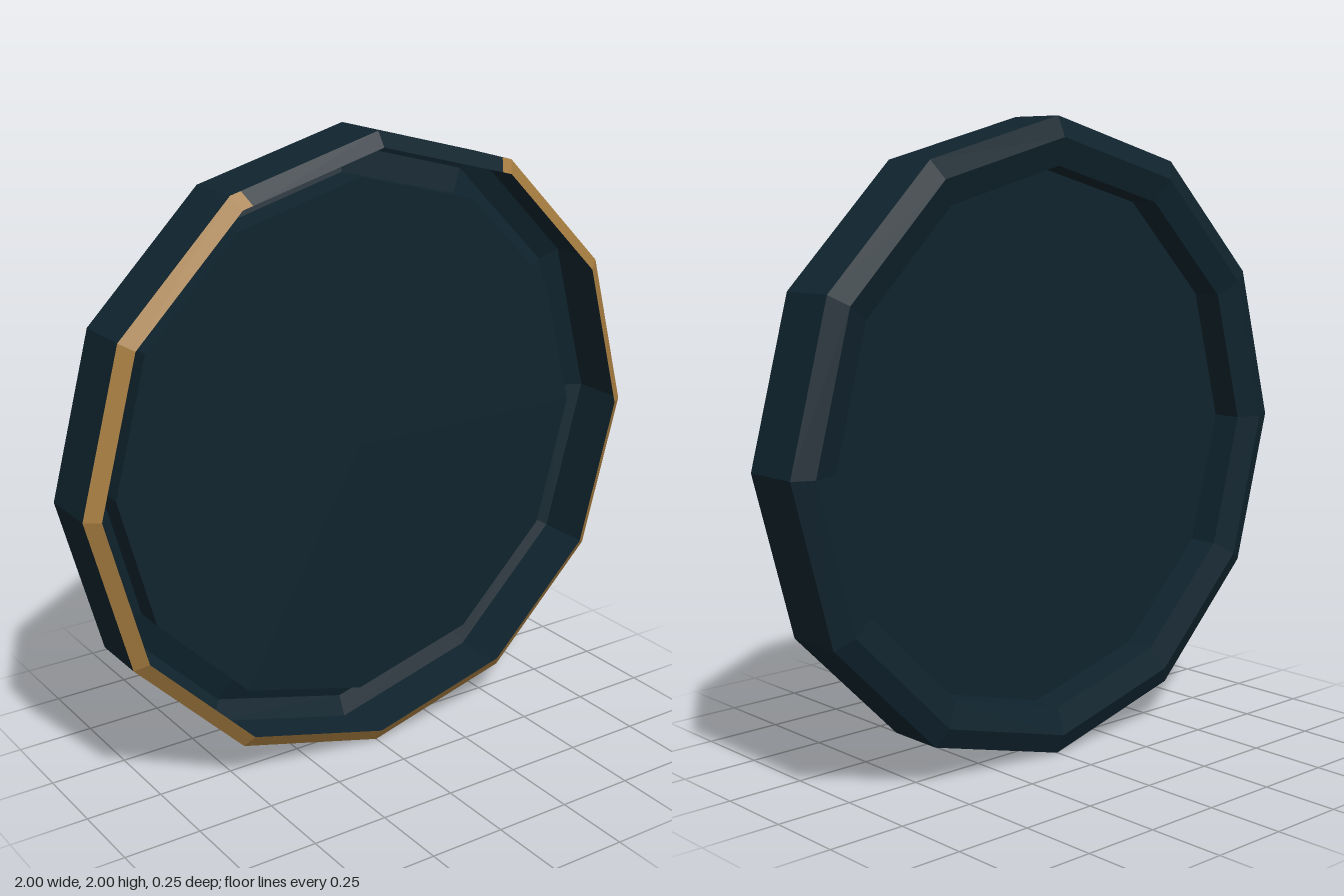
import * as THREE from 'three';

const SIDES = 12;
const FRONT = [[1, 0.093], [0.955, 0.124]]; // bevel: outer and inner [radius, z]
const CUT = 0.07; // how far the trim runs past the corners beside the top

// Point on the unit polygon; i counts corners anticlockwise from +x, fractions lie on an edge
function polygonPoint(i) {
  const at = (k) => new THREE.Vector2(Math.cos(k * 2 * Math.PI / SIDES), Math.sin(k * 2 * Math.PI / SIDES));
  const k = Math.floor(i);
  return at(k).lerp(at(k + 1), i - k);
}

// Front bevel strip along a list of polygon positions
function bevelStrip(stops) {
  const positions = [];
  for (let n = 0; n < stops.length - 1; n++) {
    const a = polygonPoint(stops[n]), b = polygonPoint(stops[n + 1]);
    const corner = (p, [r, z]) => [p.x * r, p.y * r, z];
    const ao = corner(a, FRONT[0]), bo = corner(b, FRONT[0]);
    const ai = corner(a, FRONT[1]), bi = corner(b, FRONT[1]);
    positions.push(...ao, ...bo, ...bi, ...ao, ...bi, ...ai);
  }
  const geometry = new THREE.BufferGeometry();
  geometry.setAttribute('position', new THREE.Float32BufferAttribute(positions, 3));
  geometry.computeVertexNormals();
  return geometry;
}

// Ring of flat facets around the z axis from a [radius, z] profile
function facetRing(profile) {
  return new THREE.LatheGeometry(profile.map(([r, z]) => new THREE.Vector2(r, z)), SIDES).rotateX(Math.PI / 2);
}

export function createModel() {
  const model = new THREE.Group();
  model.name = 'disc';
  const dark = new THREE.MeshStandardMaterial({ name: 'dark teal', color: 0x10242e, flatShading: true, side: THREE.DoubleSide });
  const gold = new THREE.MeshStandardMaterial({ name: 'gold', color: 0xa67c40, flatShading: true, side: THREE.DoubleSide });

  const add = (name, geometry, material) => {
    const mesh = new THREE.Mesh(geometry, material);
    mesh.name = name;
    mesh.position.y = 1;
    model.add(mesh);
  };

  // Hollow rim: outer wall, back bevel, back lip and the wall up to the centre plate
  add('rim', facetRing([[0.85, 0], [0.85, -0.1], [0.935, -0.126], [1, -0.097], FRONT[0]]), dark);

  // Centre plate, set in the middle of the rim's depth
  add('centrePlate', new THREE.CircleGeometry(0.85, SIDES), dark);

  // Front bevel: plain at the top, gold trim everywhere else
  add('topBevel', bevelStrip([2 + CUT, 3, 4 - CUT]), dark);
  const trim = [4 - CUT];
  for (let i = 4; i <= SIDES + 2; i++) trim.push(i);
  trim.push(SIDES + 2 + CUT);
  add('goldTrim', bevelStrip(trim), gold);

  return model;
}
